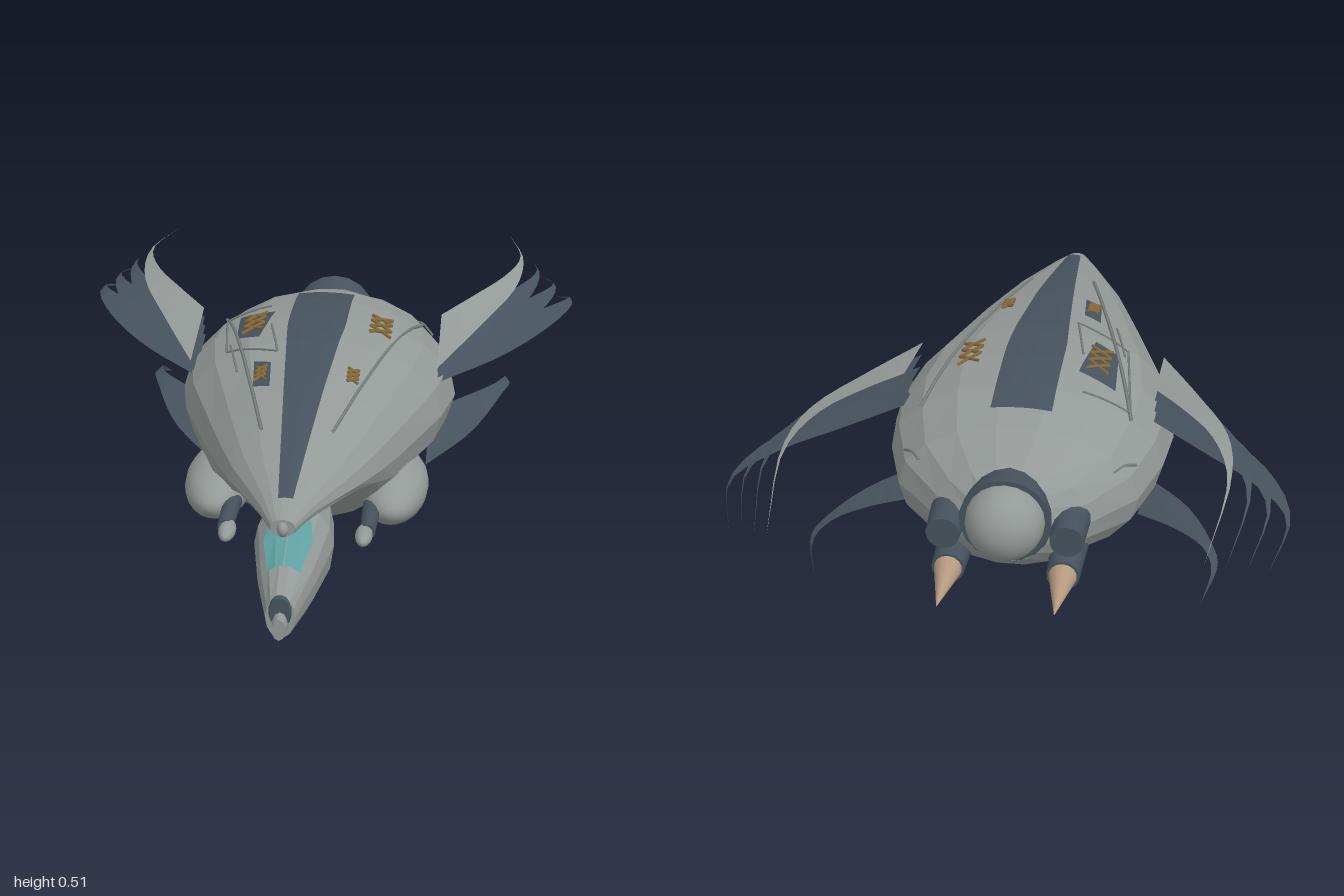
import * as THREE from 'three';

const mat = (name, color, side = THREE.DoubleSide) => {
  const m = new THREE.MeshStandardMaterial({ color, side });
  m.name = name;
  return m;
};
const V = (x, y, z) => new THREE.Vector3(x, y, z);
const lerp = THREE.MathUtils.lerp;

// [z, half width, top, widest height, bottom]
const HULL = [
  [0.89, 0.03, 0.335, 0.315, 0.29], [0.8, 0.07, 0.362, 0.32, 0.285],
  [0.6, 0.165, 0.41, 0.31, 0.265], [0.48, 0.21, 0.437, 0.3, 0.2],
  [0.35, 0.255, 0.465, 0.295, 0.1], [0.08, 0.345, 0.502, 0.295, 0.087],
  [-0.1, 0.375, 0.508, 0.29, 0.083], [-0.25, 0.36, 0.5, 0.29, 0.085],
  [-0.42, 0.31, 0.475, 0.285, 0.1], [-0.55, 0.2, 0.437, 0.285, 0.145],
  [-0.62, 0.1, 0.4, 0.285, 0.2],
];
const HEAD = [
  [0.96, 0.036, 0.168, 0.115, 0.06], [0.8, 0.072, 0.21, 0.135, 0.028],
  [0.62, 0.1, 0.258, 0.15, 0.004], [0.48, 0.088, 0.25, 0.15, 0.035],
  [0.34, 0.045, 0.2, 0.14, 0.08],
];

// Height of the hull's upper skin at x, z
function skin(x, z, lift = 0.003) {
  let i = 0;
  while (i < HULL.length - 2 && HULL[i + 1][0] > z) i++;
  const t = (z - HULL[i][0]) / (HULL[i + 1][0] - HULL[i][0]);
  const [hw, top, mid] = [1, 2, 3].map((k) => lerp(HULL[i][k], HULL[i + 1][k], t));
  return V(x, mid + (top - mid) * Math.sqrt(Math.max(0, 1 - (x / hw) ** 2)) + lift, z);
}

function faceted(points, index) {
  const g = new THREE.BufferGeometry().setFromPoints(points);
  g.setIndex(index);
  const flat = g.toNonIndexed();
  flat.computeVertexNormals();
  return flat;
}

// Closed faceted body through oval stations, running from front to back
function loft(stations, n) {
  const p = [], idx = [];
  for (const [z, hw, top, mid, bot] of stations)
    for (let j = 0; j < n; j++) {
      const a = (j / n) * Math.PI * 2, s = Math.sin(a);
      p.push(V(hw * Math.cos(a), mid + s * (s > 0 ? top - mid : mid - bot), z));
    }
  const last = (stations.length - 1) * n;
  for (let j = 0; j < n; j++) {
    const k = (j + 1) % n;
    for (let r = 0; r < last; r += n)
      idx.push(r + j, r + n + j, r + k, r + k, r + n + j, r + n + k);
    if (j > 0 && k > 0) idx.push(0, j, k, last, last + k, last + j);
  }
  return faceted(p, idx);
}

// Open sheet from rows of points
function sheet(rows) {
  const w = rows[0].length, idx = [];
  for (let r = 0; r < rows.length - 1; r++)
    for (let c = 0; c < w - 1; c++) {
      const a = r * w + c, b = a + w;
      idx.push(a, a + 1, b, a + 1, b + 1, b);
    }
  return faceted(rows.flat(), idx);
}

export function createModel() {
  const group = new THREE.Group();
  const grey = mat('hull grey', 0x949a98);
  const dark = mat('dark slate', 0x46525d);
  const teal = mat('canopy teal', 0x5f9fa0);
  const brass = mat('brass', 0x8a6c3c);
  const tan = mat('thruster tan', 0xb59a80);
  const trim = mat('trim grey', 0x7c8381);
  const add = (name, geo, m, x = 0, y = 0, z = 0) => {
    const mesh = new THREE.Mesh(geo, m);
    mesh.name = name;
    mesh.position.set(x, y, z);
    group.add(mesh);
    return mesh;
  };
  const oval = (name, m, x, y, z, rx, ry, rz) =>
    add(name, new THREE.SphereGeometry(1, 20, 14).rotateX(Math.PI / 2).scale(rx, ry, rz), m, x, y, z);
  // Tapered cylinder along z
  const barrel = (name, m, x, y, zBack, zFront, rBack, rFront, n = 14) =>
    add(name, new THREE.CylinderGeometry(rFront, rBack, zFront - zBack, n).rotateX(Math.PI / 2),
      m, x, y, (zFront + zBack) / 2);
  // Thin rod following the hull skin between two x, z points
  const rod = (name, m, x0, z0, x1, z1, r = 0.004, lift = 0.005) => {
    const pts = [];
    for (let i = 0; i <= 8; i++) pts.push(skin(lerp(x0, x1, i / 8), lerp(z0, z1, i / 8), lift));
    add(name, new THREE.TubeGeometry(new THREE.CatmullRomCurve3(pts), 8, r, 4), m);
  };

  // Main bodies
  add('hull', loft(HULL, 18), grey);
  add('head', loft(HEAD, 14), grey);
  oval('beakBead', grey, 0, 0.31, 0.88, 0.015, 0.021, 0.025);

  // Snout
  barrel('snoutPlate', dark, 0, 0.13, 0.958, 0.968, 0.034, 0.03).scale.set(0.85, 1.25, 1);
  barrel('snoutTip', grey, 0, 0.1, 0.93, 1.0, 0.028, 0.021, 10).scale.set(0.8, 1.3, 1);

  // Two canopy panes
  for (const s of [-1, 1])
    add('canopyPane', sheet([[0.88, 0.212, 0.04], [0.77, 0.247, 0.06], [0.65, 0.274, 0.045]].map(([z, y, w]) =>
      [0.03, 0.5, 1].map((t) => V(s * w * t, y - 0.018 * t * t, z)))), teal);

  // Dark stripe along the back
  const stripe = [];
  for (let i = 0; i <= 24; i++) {
    const z = lerp(0.82, -0.35, i / 24);
    const w = Math.min(0.079, lerp(0.018, 0.079, (0.82 - z) / 0.85));
    stripe.push([-1, -0.5, 0, 0.5, 1].map((t) => skin(t * w, z, 0.006)));
  }
  add('backStripe', sheet(stripe), dark);

  // Feather blade between a leading and a trailing edge
  const blade = (name, m, s, lead, trail) => {
    const L = new THREE.CatmullRomCurve3(lead), T = new THREE.CatmullRomCurve3(trail);
    const rows = [];
    for (let i = 0; i <= 14; i++)
      rows.push([L.getPoint(i / 14), T.getPoint(i / 14)].map((p) => V(p.x * s, p.y, p.z)));
    add(name, sheet(rows), m);
  };
  const mix = (a, b, t) => a.map((p, i) => V(...p.map((v, k) => lerp(v, b[i][k], t))));
  const topLead = [[0.33, 0.43, 0.08], [0.44, 0.465, -0.18], [0.53, 0.493, -0.42], [0.553, 0.505, -0.65], [0.51, 0.475, -1]];
  const topTrail = [[0.33, 0.485, -0.2], [0.41, 0.5, -0.32], [0.495, 0.511, -0.47], [0.543, 0.508, -0.66], [0.51, 0.475, -1]];
  const lowLead = [[0.33, 0.36, 0.0], [0.5, 0.37, -0.2], [0.63, 0.39, -0.4], [0.7, 0.388, -0.63], [0.655, 0.345, -0.81]];
  const lowTrail = [[0.33, 0.4, -0.22], [0.47, 0.4, -0.36], [0.6, 0.405, -0.5], [0.69, 0.396, -0.65], [0.655, 0.345, -0.81]];
  const finLead = [[0.3, 0.11, -0.02], [0.42, 0.14, -0.2], [0.5, 0.172, -0.42], [0.524, 0.17, -0.53], [0.49, 0.13, -0.645]];
  const finTrail = [[0.3, 0.165, -0.3], [0.4, 0.18, -0.38], [0.48, 0.187, -0.47], [0.51, 0.178, -0.56], [0.49, 0.13, -0.645]];

  for (const s of [-1, 1]) {
    for (let i = 0; i < 4; i++)
      blade('wingFeather', i ? dark : grey, s, mix(topLead, lowLead, i / 3), mix(topTrail, lowTrail, i / 3));
    blade('lowerFin', dark, s, mix(finLead, finLead, 0), mix(finTrail, finTrail, 0));

    // Side pods and guns
    oval('sidePod', grey, s * 0.228, 0.17, 0.265, 0.092, 0.073, 0.205);
    barrel('gunBarrel', dark, s * 0.18, 0.167, 0.4, 0.57, 0.024, 0.02, 10);
    oval('gunTip', grey, s * 0.172, 0.165, 0.585, 0.022, 0.02, 0.055);

    // Engines and thruster spikes
    barrel('upperEngine', dark, s * 0.155, 0.295, -0.66, -0.5, 0.043, 0.05);
    barrel('lowerEngine', dark, s * 0.145, 0.187, -0.65, -0.45, 0.042, 0.05);
    barrel('thrusterSpike', tan, s * 0.145, 0.187, -0.82, -0.64, 0.001, 0.038);

    // Rails and brass lattices on the back
    rod('longRail', trim, s * 0.275, -0.27, s * 0.09, 0.53, 0.005, 0.008);
    rod('rearRail', trim, s * 0.3, -0.38, s * 0.25, -0.45);
    for (const [x, z, w, h] of [[0.172, -0.07, 0.028, 0.042], [0.12, 0.265, 0.014, 0.022]])
      for (let i = -1; i <= 1; i++)
        for (const d of [-1, 1])
          rod('lattice', brass, s * (x - w), z + h * (i - d / 2), s * (x + w), z + h * (i + d / 2), 0.005, 0.012);
  }

  // Dark access panels and seams on the right side only
  const panels = [
    [[-0.225, -0.185], [-0.125, -0.15], [-0.215, 0.0], [-0.15, 0.035]],
    [[-0.147, 0.18], [-0.1, 0.205], [-0.135, 0.315], [-0.09, 0.335]],
  ];
  for (const [a, b, c, d] of panels) {
    const rows = [];
    for (let i = 0; i <= 4; i++)
      rows.push([0, 1, 2, 3, 4].map((j) => skin(
        lerp(lerp(a[0], b[0], j / 4), lerp(c[0], d[0], j / 4), i / 4),
        lerp(lerp(a[1], b[1], j / 4), lerp(c[1], d[1], j / 4), i / 4), 0.005)));
    add('accessPanel', sheet(rows), dark);
  }
  const seams = [[-0.27, -0.24, -0.145, -0.235], [-0.27, -0.24, -0.235, 0.06], [-0.235, 0.06, -0.09, 0.14],
    [-0.09, 0.14, -0.125, -0.05], [-0.23, 0.02, -0.19, 0.2]];
  for (const q of seams) rod('panelSeam', trim, ...q, 0.003, 0.002);

  // Tail
  barrel('tailCollar', dark, 0, 0.33, -0.64, -0.53, 0.117, 0.1, 18);
  oval('tailDome', grey, 0, 0.335, -0.645, 0.1, 0.1, 0.1);
  return group;
}
